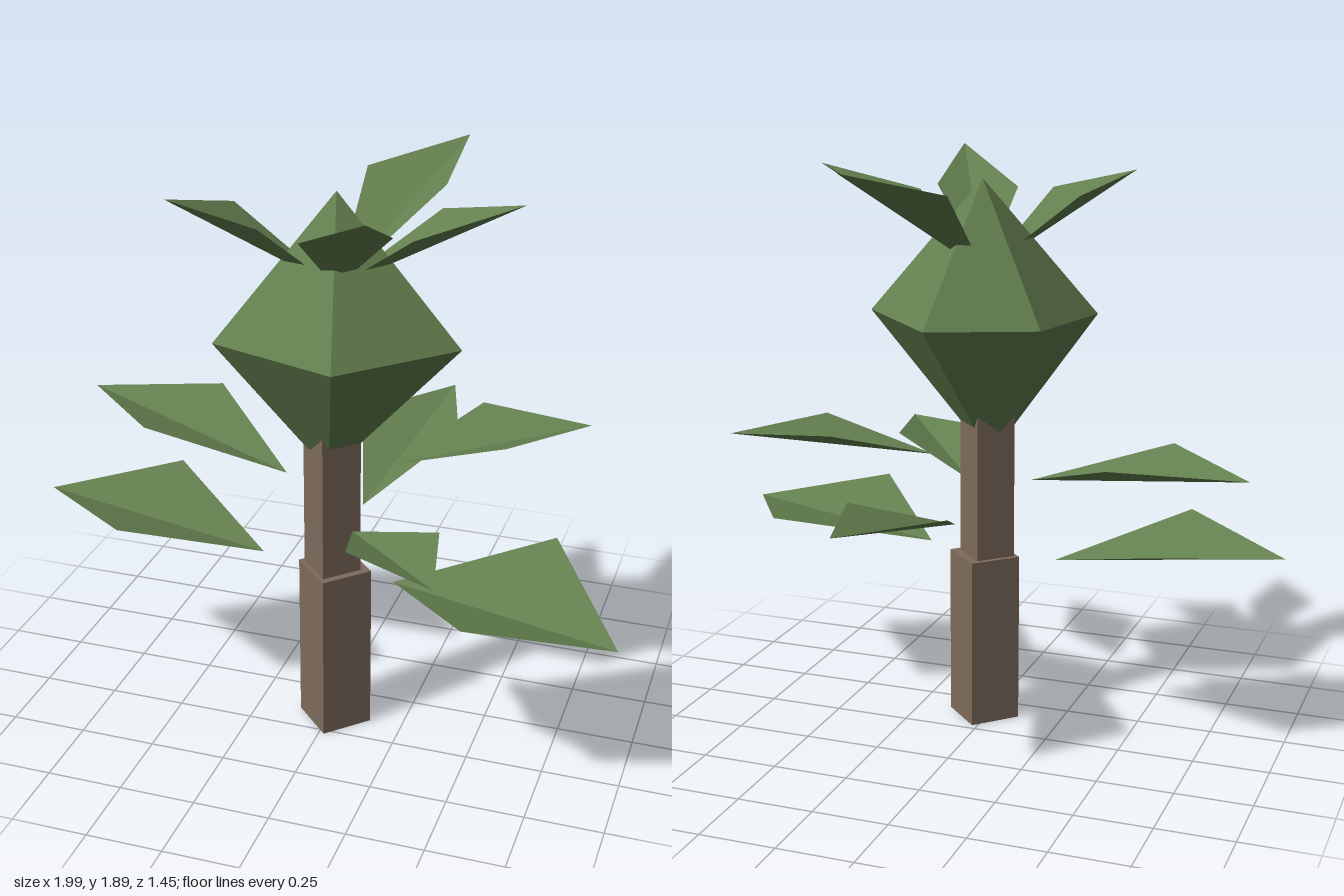
import * as THREE from 'three';

const bark = new THREE.MeshStandardMaterial({ color: 0x7d6b5b, flatShading: true });
const foliage = new THREE.MeshStandardMaterial({ color: 0x64804f, flatShading: true });
const leafGreen = foliage.clone();
leafGreen.side = THREE.DoubleSide;

// Flat-shaded mesh from a list of triangles, each corner being [x, y, z]
function facetMesh(name, triangles, material) {
  const geometry = new THREE.BufferGeometry();
  geometry.setAttribute('position', new THREE.Float32BufferAttribute(triangles.flat(2), 3));
  geometry.computeVertexNormals();
  const mesh = new THREE.Mesh(geometry, material);
  mesh.name = name;
  return mesh;
}

// Four-sided trunk block standing corner-on to the front
function trunkBlock(name, radius, bottom, top, x, z) {
  const mesh = new THREE.Mesh(new THREE.CylinderGeometry(radius, radius, top - bottom, 4), bark);
  mesh.position.set(x, (bottom + top) / 2, z);
  mesh.name = name;
  return mesh;
}

// Five-sided crown: small base ring, wide equator, single apex
function crown() {
  const equator = [[0.42, 0.15], [0.11, 0.46], [-0.31, 0.33], [-0.23, -0.03], [0.11, -0.17]];
  const apex = [0.02, 1.83, 0.13];
  const base = [0, 1.0, 0.15];
  const wide = equator.map(([x, z]) => [x, 1.38, z]);
  const small = equator.map(([x, z]) => [x * 0.19, 1.0, 0.15 + (z - 0.15) * 0.19]);
  const triangles = [];
  for (let i = 0; i < 5; i++) {
    const j = (i + 1) % 5;
    triangles.push(
      [wide[j], wide[i], apex],
      [wide[i], wide[j], small[j]],
      [wide[i], small[j], small[i]],
      [base, small[i], small[j]]
    );
  }
  return facetMesh('crown', triangles, foliage);
}

// Kite-shaped leaf folded along the line from base to tip
function leaf(name, base, tip, sideA, sideB) {
  return facetMesh(name, [[base, sideA, tip], [base, tip, sideB]], leafGreen);
}

export function createModel() {
  const model = new THREE.Group();
  model.name = 'tree';

  model.add(
    trunkBlock('lowerTrunk', 0.123, 0, 0.575, 0.018, 0.147),
    trunkBlock('upperTrunk', 0.095, 0.575, 1.12, 0.01, 0.15),
    crown()
  );

  // Leaves floating around the trunk: base, tip, two side corners
  const trunkLeaves = [
    [[0.06, 0.72, -0.02], [0.18, 0.87, -0.73], [-0.07, 0.865, -0.43], [0.29, 0.865, -0.36]],
    [[0.12, 0.785, 0.28], [0.5, 0.885, 0.72], [0.2, 0.895, 0.6], [0.43, 0.895, 0.4]],
    [[0.23, 0.58, 0.2], [0.99, 0.605, 0.43], [0.55, 0.685, 0.59], [0.7, 0.685, -0.06]],
    [[-0.23, 0.58, 0.14], [-1, 0.68, 0.11], [-0.63, 0.725, 0.4], [-0.63, 0.72, -0.145]],
    [[-0.16, 0.86, 0.1], [-0.92, 0.98, -0.105], [-0.5, 1.0, -0.21], [-0.61, 1.0, 0.2]],
    [[0.17, 0.925, 0.07], [0.76, 1.015, -0.23], [0.4, 1.04, -0.245], [0.55, 1.035, 0.065]]
  ];
  trunkLeaves.forEach((corners, i) => model.add(leaf(`trunkLeaf${i + 1}`, ...corners)));

  // Leaves sprouting from inside the crown: tip, two side corners
  const heart = [0.02, 1.53, 0.14];
  const crownLeaves = [
    [[0.6, 1.855, 0.17], [0.31, 1.765, 0.32], [0.31, 1.765, 0.0]],
    [[0.255, 1.895, 0.595], [0.01, 1.77, 0.45], [0.26, 1.78, 0.35]],
    [[-0.41, 1.845, 0.41], [-0.13, 1.78, 0.4], [-0.29, 1.78, 0.17]],
    [[0.29, 1.885, -0.39], [0.01, 1.81, -0.21], [0.305, 1.82, -0.06]]
  ];
  crownLeaves.forEach((corners, i) => model.add(leaf(`crownLeaf${i + 1}`, heart, ...corners)));

  return model;
}
